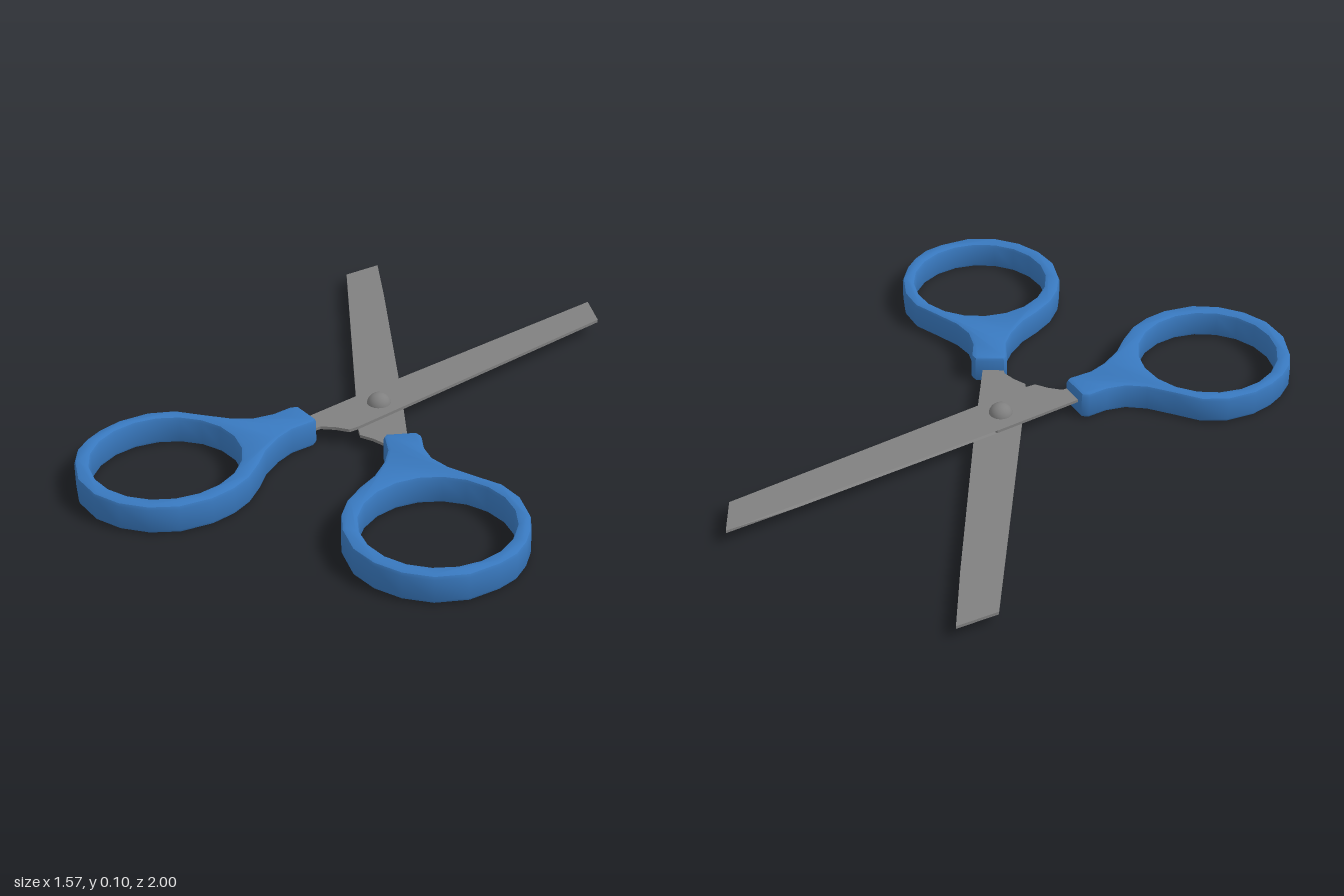
import * as THREE from 'three';
import { toCreasedNormals } from 'three/addons/utils/BufferGeometryUtils.js';

const steel = new THREE.MeshStandardMaterial({ color: 0x808080 });
steel.name = 'steel';
const bluePlastic = new THREE.MeshStandardMaterial({ color: 0x3878be });
bluePlastic.name = 'bluePlastic';

const MID = 0.053; // height of the plane where the blades meet
const HALF = 0.052; // half thickness of the handles
const PIVOT_Z = 0.02;

const toShape = (pts) => new THREE.Shape(pts.map(([x, z]) => new THREE.Vector2(x, z)));

// Extrudes an outline given in (x, z), with its height centred on y = 0
function slab(shape, height, bevel = 0) {
  const geo = new THREE.ExtrudeGeometry(shape, {
    depth: height - 2 * bevel, bevelEnabled: bevel > 0, bevelThickness: bevel,
    bevelSize: bevel, bevelOffset: -bevel, bevelSegments: 2, curveSegments: 20,
  });
  return geo.rotateX(Math.PI / 2).translate(0, height / 2 - bevel, 0);
}

// Blade: flat plate whose cutting edge is ground away on the upper face
function bladeGeometry() {
  const outline = [
    [0.44, -1], [0.52, -0.875], [0, 0.2], [-0.02, 0.23], [-0.07, 0.235], [-0.12, 0.25],
    [-0.16, 0.31], [-0.23, 0.29], [-0.085, 0], [-0.045, -0.08], [-0.035, -0.1], [0.315, -0.77],
  ];
  const ground = [[-0.035, -0.1, 0, -0.08], [0.315, -0.77, 0.335, -0.76]]; // from x, z to x, z
  const geo = slab(toShape(outline), 0.011).translate(0, 0.0062, 0);
  const pos = geo.attributes.position;
  for (let i = 0; i < pos.count; i++) {
    if (pos.getY(i) < 0.006) continue;
    for (const [x, z, tx, tz] of ground) {
      if (Math.hypot(pos.getX(i) - x, pos.getZ(i) - z) < 1e-4) {
        pos.setX(i, tx);
        pos.setZ(i, tz);
        break;
      }
    }
  }
  geo.computeVertexNormals();
  return geo;
}

// Handle: finger ring flowing into a neck that grips the blade
function handleGeometry() {
  const outline = [
    [0.785, 0.69], [0.775, 0.62], [0.745, 0.54], [0.68, 0.455], [0.6, 0.405], [0.5, 0.39],
    [0.4, 0.373], [0.33, 0.342], [0.28, 0.29], [0.245, 0.225], [0.22, 0.213],
    [0.13, 0.265], [0.13, 0.285], [0.175, 0.36], [0.192, 0.43], [0.195, 0.52],
    [0.18, 0.6], [0.173, 0.69], [0.188, 0.77], [0.225, 0.85], [0.3, 0.935], [0.39, 0.98],
    [0.49, 0.995], [0.59, 0.978], [0.685, 0.92], [0.75, 0.83], [0.78, 0.76],
  ].map(([x, z]) => [-x, z]);
  const shape = toShape(outline);
  const hole = [];
  for (let i = 0; i < 20; i++) {
    const a = (i / 20) * Math.PI * 2;
    hole.push(new THREE.Vector2(-0.485 + 0.25 * Math.cos(a), 0.686 + 0.255 * Math.sin(a)));
  }
  shape.holes.push(new THREE.Path(hole));
  return toCreasedNormals(slab(shape, 2 * HALF, 0.014), 0.75);
}

export function createModel() {
  const model = new THREE.Group();
  model.name = 'scissors';

  // The second half is the first one turned over about the long axis
  const blade = bladeGeometry();
  const handle = handleGeometry();
  ['upper', 'lower'].forEach((side, i) => {
    const half = new THREE.Group();
    half.name = side + 'Half';
    const bladeMesh = new THREE.Mesh(blade, steel);
    bladeMesh.name = side + 'Blade';
    const handleMesh = new THREE.Mesh(handle, bluePlastic);
    handleMesh.name = side + 'Handle';
    half.add(bladeMesh, handleMesh);
    half.rotation.z = i * Math.PI;
    half.position.y = MID;
    model.add(half);
  });

  // Pivot: domed head above, short pin below
  const pivot = new THREE.Group();
  pivot.name = 'pivot';
  const head = new THREE.Mesh(
    new THREE.SphereGeometry(0.043, 20, 8, 0, Math.PI * 2, 0, Math.PI / 2), steel);
  head.name = 'pivotHead';
  head.position.y = 0.058;
  const pin = new THREE.Mesh(new THREE.CylinderGeometry(0.026, 0.026, 0.04, 16), steel);
  pin.name = 'pivotPin';
  pin.position.y = 0.04;
  pivot.add(head, pin);
  pivot.position.z = PIVOT_Z;
  model.add(pivot);

  return model;
}
